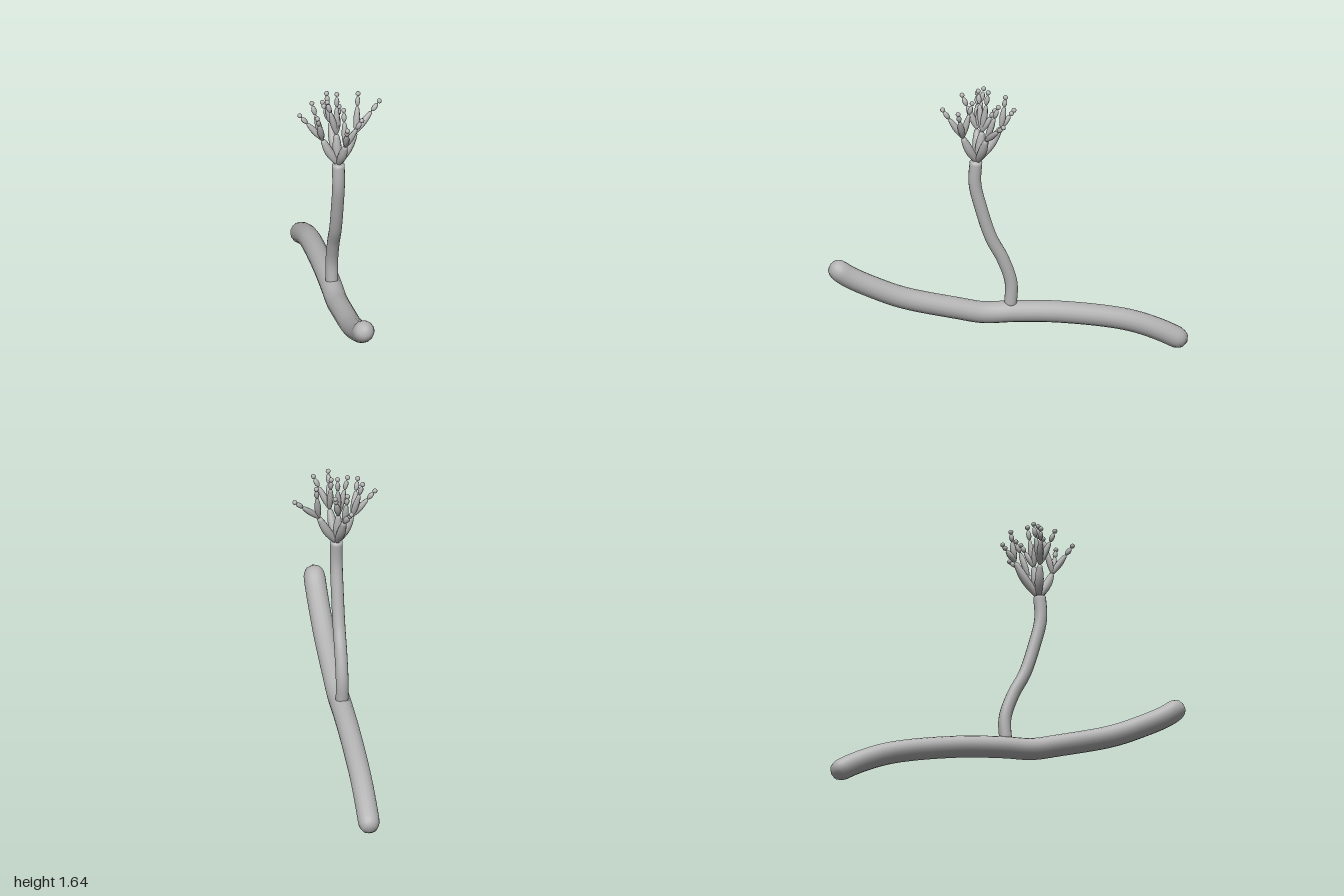
import * as THREE from 'three';
import { mergeVertices } from 'three/addons/utils/BufferGeometryUtils.js';

const V = (p) => new THREE.Vector3(...p);

// Tube along a smooth curve whose radius follows radiusAt(u, length)
function sweep(points, radiusAt, segments, sides) {
  const curve = new THREE.CatmullRomCurve3(points);
  const length = curve.getLength();
  const geo = new THREE.TubeGeometry(curve, segments, 1, sides);
  const pos = geo.attributes.position;
  const p = new THREE.Vector3();
  for (let i = 0; i <= segments; i++) {
    const centre = curve.getPointAt(i / segments);
    const r = radiusAt(i / segments, length);
    for (let j = 0; j <= sides; j++) {
      const k = i * (sides + 1) + j;
      p.fromBufferAttribute(pos, k).sub(centre).multiplyScalar(r).add(centre);
      pos.setXYZ(k, p.x, p.y, p.z);
    }
  }
  geo.deleteAttribute('uv');
  geo.deleteAttribute('normal');
  const merged = mergeVertices(geo, 1e-5);
  merged.computeVertexNormals();
  return merged;
}

// Constant radius with rounded ends
const rounded = (radius, cap) => (u, length) => {
  const d = Math.min(1, Math.min(u, 1 - u) * length / cap);
  return radius * Math.sqrt(Math.max(0, 1 - (1 - d) ** 2));
};

// Swollen middle, narrow necks, closed ends
const spindle = (radius, neck) => (u) =>
  u < 1e-6 || u > 1 - 1e-6 ? 0 : neck + (radius - neck) * Math.sin(Math.PI * u) ** 0.9;

export function createModel() {
  const model = new THREE.Group();
  const grey = new THREE.MeshStandardMaterial({ color: 0xb4b4b4 });
  grey.name = 'grey';
  const X = -0.025;

  const add = (name, geo, parent = model) => {
    const mesh = new THREE.Mesh(geo, grey);
    mesh.name = name;
    parent.add(mesh);
    return mesh;
  };

  // Wavy horizontal filament, [z, y]
  const filament = [[0.99, 0.685], [0.9, 0.607], [0.73, 0.512], [0.58, 0.445], [0.29, 0.36], [0.14, 0.322],
    [-0.02, 0.315], [-0.28, 0.29], [-0.64, 0.216], [-0.82, 0.143], [-0.985, 0.048]];
  add('filament', sweep(filament.map(([z, y]) => V([X, y, z])), rounded(0.06, 0.08), 100, 16));

  // Upright stalk, [z, y]
  const stalk = [[-0.005, 0.34], [-0.01, 0.49], [0.035, 0.636], [0.1, 0.77],
    [0.155, 0.95], [0.19, 1.11], [0.183, 1.255]];
  add('stalk', sweep(stalk.map(([z, y]) => V([X, y, z])), rounded(0.035, 0.02), 60, 14));

  // Each branch ends in a fork that carries several spore chains
  const top = V([X, 1.235, 0.178]);
  const branches = [
    { fork: [-0.11, 1.4, 0.165], tips: [[-0.24, 1.565, 0.14], [-0.163, 1.627, 0.115], [-0.155, 1.6, 0.245]] },
    { fork: [0.0, 1.405, 0.262], tips: [[-0.01, 1.588, 0.38], [0.09, 1.6, 0.305], [0.0, 1.62, 0.206]] },
    { fork: [0.08, 1.415, 0.145], tips: [[0.233, 1.564, 0.07], [0.105, 1.636, 0.078]] },
    { fork: [-0.045, 1.43, 0.04], tips: [[-0.075, 1.515, -0.04], [-0.06, 1.61, 0.013]] },
    { fork: [-0.03, 1.42, 0.15], tips: [[-0.087, 1.653, 0.163], [-0.02, 1.67, 0.115], [0.0, 1.56, 0.08]] },
  ];

  for (const { fork, tips } of branches) {
    const group = new THREE.Group();
    group.name = 'branch';
    model.add(group);
    const end = V(fork);
    const start = top.clone().lerp(end, 0.03);
    const middle = start.clone().lerp(end, 0.5);
    middle.x += (end.x - X) * 0.06;
    middle.z += (end.z - top.z) * 0.06;
    add('branchStem', sweep([start, middle, end], spindle(0.025, 0.011), 18, 10), group);

    for (const t of tips) {
      const tip = V(t);
      const at = (f) => end.clone().lerp(tip, f);
      // Flask-shaped cell, then a long spore and a round end spore
      add('flaskCell', sweep([at(-0.04), at(0.3), at(0.64)], spindle(0.018, 0.007), 14, 8), group);
      add('longSpore', sweep([at(0.62), at(0.74), at(0.87)], spindle(0.014, 0.005), 10, 8), group);
      const spore = add('endSpore', new THREE.SphereGeometry(0.0135, 10, 8), group);
      spore.position.copy(at(0.93));
    }
  }
  return model;
}
